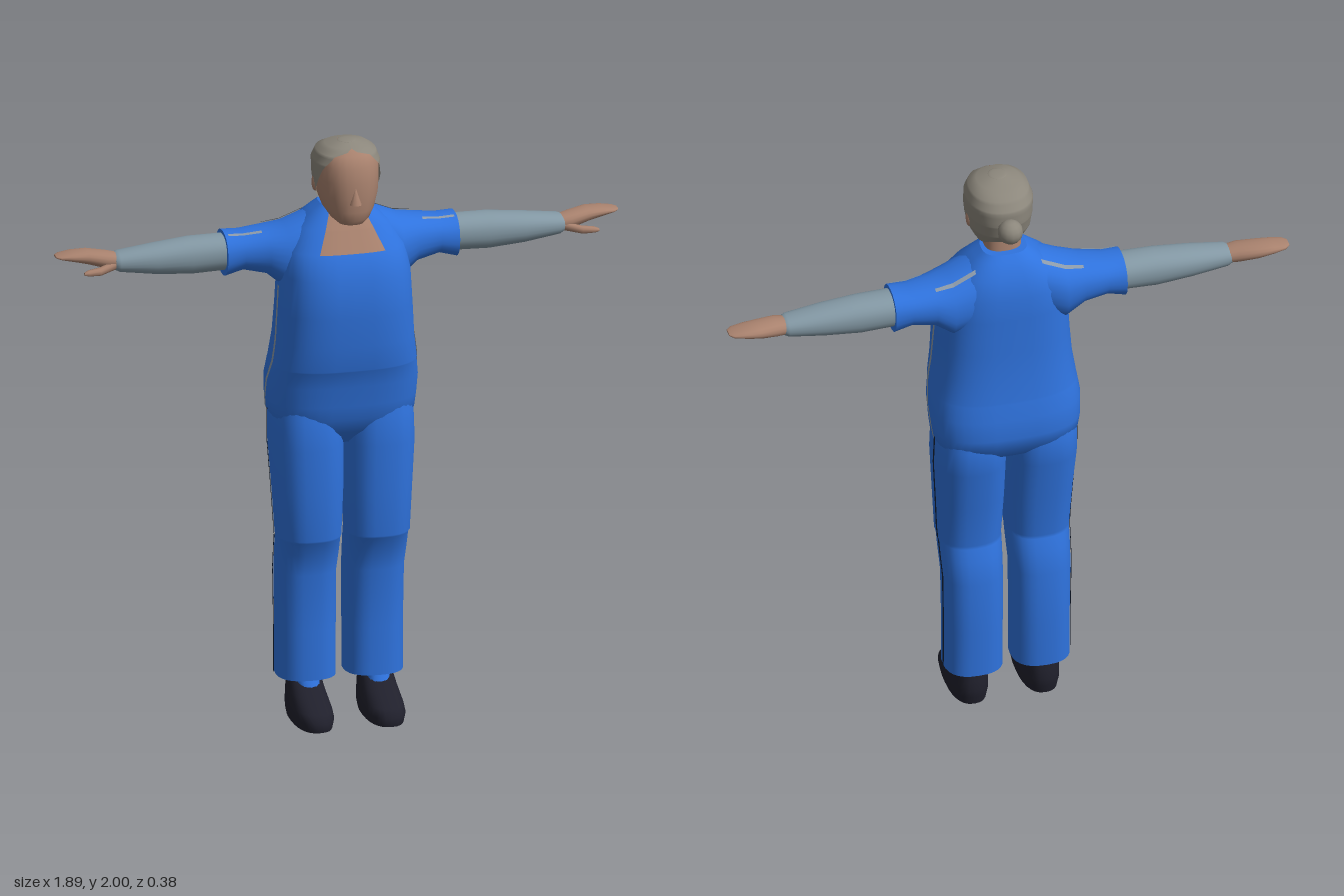
import * as THREE from 'three';

const paint = (name, color) => Object.assign(new THREE.MeshStandardMaterial({ color }), { name });

// Row interpolation: [t, centreU, halfU, centreV, halfV]
function at(rows, t) {
  let i = 0;
  while (i < rows.length - 2 && t > rows[i + 1][0]) i++;
  const a = rows[i], b = rows[i + 1];
  const k = THREE.MathUtils.clamp((t - a[0]) / (b[0] - a[0]), 0, 1);
  return a.map((v, n) => v + (b[n] - v) * k);
}
const pow = (v, p) => Math.sign(v) * Math.abs(v) ** p;

// Rounded-box tubes: upright ones run along y, sideways ones along x
function upright(rows, p = 0.8) {
  const r = rows.map(([y, w, front, back, cx = 0]) => [y, cx, w, (front + back) / 2, (front - back) / 2]);
  const point = (a, y, off = 0) => {
    const [, cu, hu, cv, hv] = at(r, y);
    return [cu + (hu + off) * pow(Math.cos(a), p), y, cv + (hv + off) * pow(Math.sin(a), p)];
  };
  const angleX = (y, x) => { const s = at(r, y); return Math.acos(Math.min(1, (x - s[1]) / s[2]) ** (1 / p)); };
  const angleZ = (y, z) => { const s = at(r, y); return Math.asin(THREE.MathUtils.clamp(pow((z - s[3]) / s[4], 1 / p), -1, 1)); };
  return { point, angleX, angleZ, stops: r.map((s) => s[0]) };
}
function sideways(rows, p = 0.9) {
  const r = rows.map(([x, y0, y1, z0, z1]) => [x, (y0 + y1) / 2, (y1 - y0) / 2, (z0 + z1) / 2, (z1 - z0) / 2]);
  const point = (a, x, off = 0) => {
    const [, cu, hu, cv, hv] = at(r, x);
    return [x, cu + (hu + off) * pow(Math.cos(a), p), cv - (hv + off) * pow(Math.sin(a), p)];
  };
  return { point, stops: r.map((s) => s[0]) };
}

// Skin a list of rings; closed rings get end caps with their own corners
function skin(rings, closed) {
  const n = rings[0].length, pos = rings.flat(2), idx = [];
  for (let i = 0; i < rings.length - 1; i++) {
    for (let j = 0; j < (closed ? n : n - 1); j++) {
      const k = (j + 1) % n, a = i * n + j, b = i * n + k;
      idx.push(a, a + n, b, b, a + n, b + n);
    }
  }
  if (closed) {
    [rings[0], rings[rings.length - 1]].forEach((ring, end) => {
      const base = pos.length / 3;
      pos.push(...ring.flat());
      pos.push(...[0, 1, 2].map((c) => ring.reduce((s, q) => s + q[c], 0) / n));
      for (let j = 0; j < n; j++) {
        const a = base + j, b = base + (j + 1) % n;
        idx.push(...(end ? [a, base + n, b] : [a, b, base + n]));
      }
    });
  }
  const g = new THREE.BufferGeometry();
  g.setAttribute('position', new THREE.Float32BufferAttribute(pos, 3));
  g.setIndex(idx);
  g.computeVertexNormals();
  return g;
}
const loft = (s, n = 28) => skin(s.stops.map((t) =>
  Array.from({ length: n }, (_, j) => s.point(j / n * Math.PI * 2, t))), true);

// Thin plate lying on a tube, between two angles that may vary along it
function plate(s, t0, t1, from, to, cols, off = 0.004) {
  const stops = [...s.stops.filter((t) => t > t0 && t < t1)];
  for (let i = 0; i <= 12; i++) stops.push(t0 + (t1 - t0) * i / 12);
  stops.sort((a, b) => a - b);
  return skin(stops.map((t) => Array.from({ length: cols + 1 }, (_, j) =>
    s.point(from(t) + (to(t) - from(t)) * j / cols, t, off))), false);
}

function mirrored(g) {
  const m = g.clone().scale(-1, 1, 1);
  const ix = m.index.array;
  for (let i = 0; i < ix.length; i += 3) [ix[i], ix[i + 1]] = [ix[i + 1], ix[i]];
  m.computeVertexNormals();
  return m;
}
const curve = (pts) => (t) => at(pts, t)[1];

export function createModel() {
  const blue = paint('blueCloth', 0x2f73de), grey = paint('greySleeve', 0x8398a4);
  const flesh = paint('skin', 0xa9826e), hairMat = paint('greyHair', 0x8c877c);
  const black = paint('darkShoe', 0x20202c), piping = paint('greyPiping', 0x8b99a8);
  const seam = paint('darkSeam', 0x142238);
  [piping, seam, hairMat].forEach((m) => { m.side = THREE.DoubleSide; });

  const root = new THREE.Group(), figure = new THREE.Group();
  figure.name = 'figure';
  figure.position.x = -0.01;
  root.add(figure);
  const add = (name, g, mat) => {
    const m = new THREE.Mesh(g, mat);
    m.name = name;
    figure.add(m);
    return m;
  };
  const pair = (name, g, mat) => {
    add(name + 'Left', g, mat);
    add(name + 'Right', mirrored(g), mat);
  };

  // Torso: hips, hem step, chest and collar
  const torso = upright([
    [0.95, 0.10, 0.05, -0.07], [1.0, 0.20, 0.10, -0.14], [1.05, 0.24, 0.125, -0.178],
    [1.1, 0.246, 0.135, -0.19], [1.17, 0.249, 0.148, -0.182], [1.228, 0.241, 0.162, -0.171],
    [1.235, 0.24, 0.172, -0.17], [1.32, 0.228, 0.182, -0.16], [1.42, 0.221, 0.19, -0.155],
    [1.55, 0.213, 0.19, -0.155], [1.63, 0.2, 0.143, -0.152], [1.70, 0.155, 0.098, -0.135],
    [1.745, 0.1, 0.066, -0.1], [1.765, 0.075, 0.045, -0.08]], 0.7);
  add('jacket', loft(torso, 40), blue);
  const neckline = (y) => torso.angleX(y, THREE.MathUtils.mapLinear(y, 1.63, 1.766, 0.108, 0.05));
  add('openCollar', plate(torso, 1.63, 1.764, neckline, (y) => Math.PI - neckline(y), 10), flesh);

  // Legs and shoes
  const leg = upright([
    [0.135, 0.098, 0.05, -0.14, 0.113], [0.3, 0.098, 0.052, -0.143, 0.113],
    [0.5, 0.1, 0.056, -0.143, 0.114], [0.58, 0.103, 0.086, -0.125, 0.114],
    [0.625, 0.104, 0.1, -0.112, 0.114], [0.635, 0.106, 0.112, -0.108, 0.115],
    [0.8, 0.114, 0.12, -0.13, 0.116], [0.95, 0.119, 0.125, -0.158, 0.12],
    [1.05, 0.116, 0.12, -0.17, 0.121], [1.18, 0.1, 0.09, -0.13, 0.12]], 0.8);
  pair('trouserLeg', loft(leg), blue);
  pair('shoe', loft(upright([
    [0, 0.062, 0.183, -0.105, 0.12], [0.03, 0.068, 0.19, -0.112, 0.12],
    [0.055, 0.066, 0.165, -0.115, 0.12], [0.09, 0.06, 0.09, -0.11, 0.12],
    [0.14, 0.052, 0.01, -0.1, 0.12]])), black);
  pair('sock', loft(upright([[0.1, 0.042, 0.06, -0.08, 0.118], [0.15, 0.045, 0.035, -0.09, 0.118]]), 16), blue);

  // Side piping from armpit to hip, then a dark seam down the leg
  const pipeZ = curve([[1.08, -0.05], [1.25, 0.03], [1.5, 0.02]]);
  const seamZ = curve([[0.14, -0.06], [0.5, -0.065], [0.65, -0.02], [1.08, -0.05]]);
  const strip = (s, y0, y1, z, w) => plate(s, y0, y1,
    (y) => s.angleZ(y, z(y) - w), (y) => s.angleZ(y, z(y) + w), 2);
  pair('sidePiping', strip(torso, 1.06, 1.5, pipeZ, 0.008), piping);
  pair('legSeam', strip(leg, 0.14, 1.06, seamZ, 0.006), seam);

  // Arms: short sleeve over a grey undersleeve, then the hand
  const sleeve = sideways([
    [0.05, 1.6, 1.752, -0.1, 0.04], [0.12, 1.5, 1.73, -0.135, 0.085],
    [0.19, 1.48, 1.7, -0.142, 0.08], [0.25, 1.53, 1.688, -0.136, 0.05],
    [0.33, 1.548, 1.677, -0.13, 0.032], [0.39, 1.53, 1.68, -0.13, 0.03]]);
  pair('shortSleeve', loft(sleeve), blue);
  const band = (t0, t1, a) => plate(sleeve, t0, t1, () => a - 0.07, () => a + 0.07, 2);
  pair('shoulderPiping', band(0.1, 0.25, 0.55), piping);
  pair('sleevePiping', band(0.27, 0.38, -0.45), piping);
  pair('undersleeve', loft(sideways([
    [0.36, 1.55, 1.668, -0.115, 0.015], [0.5, 1.545, 1.667, -0.115, 0.012],
    [0.62, 1.555, 1.655, -0.108, 0.008], [0.74, 1.572, 1.64, -0.098, -0.005],
    [0.755, 1.58, 1.633, -0.09, -0.015]])), grey);
  pair('hand', loft(sideways([
    [0.73, 1.58, 1.632, -0.085, -0.018], [0.78, 1.585, 1.642, -0.1, -0.015],
    [0.84, 1.6, 1.648, -0.117, -0.03], [0.89, 1.612, 1.645, -0.117, -0.037],
    [0.93, 1.622, 1.638, -0.11, -0.045], [0.945, 1.627, 1.634, -0.095, -0.06]]), 16), flesh);
  pair('thumb', loft(sideways([
    [0.755, 1.585, 1.615, -0.05, -0.015], [0.81, 1.576, 1.603, -0.025, 0.006],
    [0.85, 1.578, 1.598, -0.018, 0.008], [0.865, 1.582, 1.592, -0.01, 0.004]]), 10), flesh);

  // Neck and head
  add('neck', loft(upright([[1.66, 0.07, 0.06, -0.07], [1.74, 0.062, 0.05, -0.06], [1.84, 0.06, 0.06, -0.05]])), flesh);
  const head = upright([
    [1.733, 0.042, 0.155, 0.07], [1.75, 0.063, 0.168, 0.02], [1.78, 0.083, 0.175, -0.035],
    [1.83, 0.099, 0.178, -0.07], [1.88, 0.104, 0.177, -0.083], [1.93, 0.105, 0.168, -0.083],
    [1.965, 0.092, 0.148, -0.058], [1.985, 0.065, 0.115, -0.015], [1.996, 0.025, 0.08, 0.03]], 0.9);
  add('face', loft(head), flesh);
  const nose = add('nose', new THREE.ConeGeometry(0.02, 0.06, 8), flesh);
  nose.position.set(0, 1.84, 0.176);
  nose.scale.z = 0.9;
  for (const s of [-1, 1]) {
    const ear = add(s > 0 ? 'earLeft' : 'earRight', new THREE.SphereGeometry(0.026, 10, 8), flesh);
    ear.position.set(s * 0.101, 1.85, 0.035);
    ear.scale.set(0.4, 1.1, 0.7);
  }

  // Hair swept back into a bun
  const hairline = curve([[1.755, -0.9], [1.82, -0.1], [1.86, 0.2], [1.92, 0.55], [1.965, 0.95], [1.98, 1.57]]);
  add('hair', plate(head, 1.755, 1.996, (y) => Math.PI - hairline(y), (y) => Math.PI * 2 + hairline(y), 28, 0.005), hairMat);
  const crown = add('crown', new THREE.SphereGeometry(0.032, 16, 6, 0, Math.PI * 2, 0, Math.PI / 2), hairMat);
  crown.position.set(0, 1.995, 0.055);
  crown.scale.y = 0.15;
  const bun = add('hairBun', new THREE.SphereGeometry(0.042, 12, 8), hairMat);
  bun.position.set(0, 1.875, -0.106);
  return root;
}
